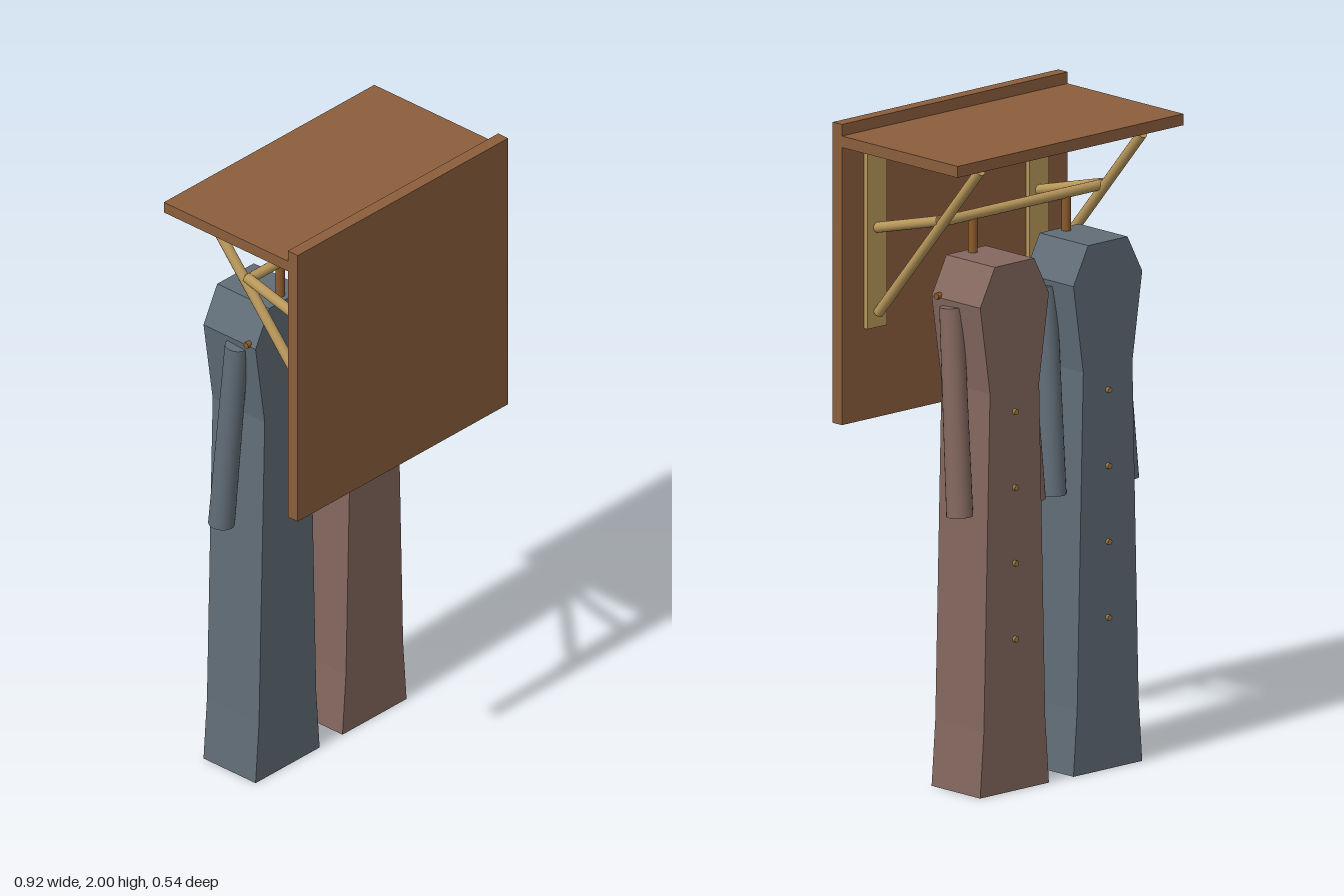
import * as THREE from 'three';

const mat = (name, color) => {
  const m = new THREE.MeshStandardMaterial({ color });
  m.name = name;
  return m;
};

export function createModel() {
  const board = mat('board brown', 0x8b5e3c);
  const pine = mat('pale wood', 0xb8975a);
  const hangerWood = mat('hanger brown', 0x8b5a2b);
  const blue = mat('slate blue cloth', 0x616d77);
  const brown = mat('dusty brown cloth', 0x84685f);
  const brass = mat('button brass', 0xa07c3c);

  const root = new THREE.Group();
  root.name = 'coatRack';

  const add = (parent, name, geometry, material, x = 0, y = 0, z = 0) => {
    const mesh = new THREE.Mesh(geometry, material);
    mesh.name = name;
    mesh.position.set(x, y, z);
    parent.add(mesh);
    return mesh;
  };

  // Round bar from a (radius ra) to b (radius rb)
  const bar = (parent, name, a, b, ra, rb, material, sides = 16) => {
    const from = new THREE.Vector3(...a), to = new THREE.Vector3(...b);
    const dir = to.clone().sub(from);
    const mesh = add(parent, name, new THREE.CylinderGeometry(rb, ra, dir.length(), sides), material);
    mesh.position.copy(from).add(to).multiplyScalar(0.5);
    mesh.quaternion.setFromUnitVectors(new THREE.Vector3(0, 1, 0), dir.normalize());
    return mesh;
  };

  // Wall board and shelf
  add(root, 'backBoard', new THREE.BoxGeometry(0.92, 0.92, 0.04), board, 0, 1.54, 0.25);
  add(root, 'shelf', new THREE.BoxGeometry(0.92, 0.035, 0.5), board, 0, 1.947, -0.02);

  // Brackets: wall strip, diagonal strut and short brace on each side
  for (const side of [-1, 1]) {
    const x = side * 0.33;
    const bracket = new THREE.Group();
    bracket.name = side > 0 ? 'leftBracket' : 'rightBracket';
    add(bracket, 'wallStrip', new THREE.BoxGeometry(0.08, 0.54, 0.015), pine, x, 1.63, 0.2225);
    bar(bracket, 'strut', [x, 1.405, 0.21], [x, 1.92, -0.23], 0.016, 0.016, pine);
    bar(bracket, 'brace', [x, 1.665, 0.215], [x, 1.735, -0.055], 0.016, 0.016, pine);
    root.add(bracket);
  }
  bar(root, 'hangingRail', [-0.335, 1.73, -0.05], [0.335, 1.73, -0.05], 0.016, 0.016, pine);

  // Half outline of a coat: [half width, height]
  const outline = [[0.14, 0], [0.125, 0.2], [0.1, 1.23], [0.14, 1.5], [0.08, 1.615]];
  const shape = new THREE.Shape([
    ...outline.map(([x, y]) => new THREE.Vector2(x, y)),
    ...outline.map(([x, y]) => new THREE.Vector2(-x, y)).reverse(),
  ]);
  const bodyGeometry = new THREE.ExtrudeGeometry(shape, { depth: 0.21, bevelEnabled: false });

  const coat = (name, x, cloth) => {
    const g = new THREE.Group();
    g.name = name;
    g.position.x = x;
    add(g, 'coatBody', bodyGeometry, cloth, 0, 0, -0.23);
    for (const side of [-1, 1]) {
      bar(g, side > 0 ? 'leftSleeve' : 'rightSleeve',
        [side * 0.148, 0.85, -0.15], [side * 0.135, 1.48, -0.1], 0.04, 0.036, cloth, 24);
    }
    // Hanger: hook post and shoulder bar
    bar(g, 'hangerPost', [0, 1.5, -0.05], [0, 1.73, -0.05], 0.014, 0.014, hangerWood);
    bar(g, 'hangerBar', [-0.15, 1.505, -0.05], [0.15, 1.505, -0.05], 0.01, 0.01, hangerWood);
    // Buttons down the coat opening
    for (let i = 0; i < 4; i++) {
      const y = 1.16 - i * 0.232;
      bar(g, 'button', [0, y, -0.225], [0, y, -0.24], 0.009, 0.009, brass, 12);
    }
    root.add(g);
  };
  coat('brownCoat', 0.19, brown);
  coat('blueCoat', -0.19, blue);

  return root;
}
